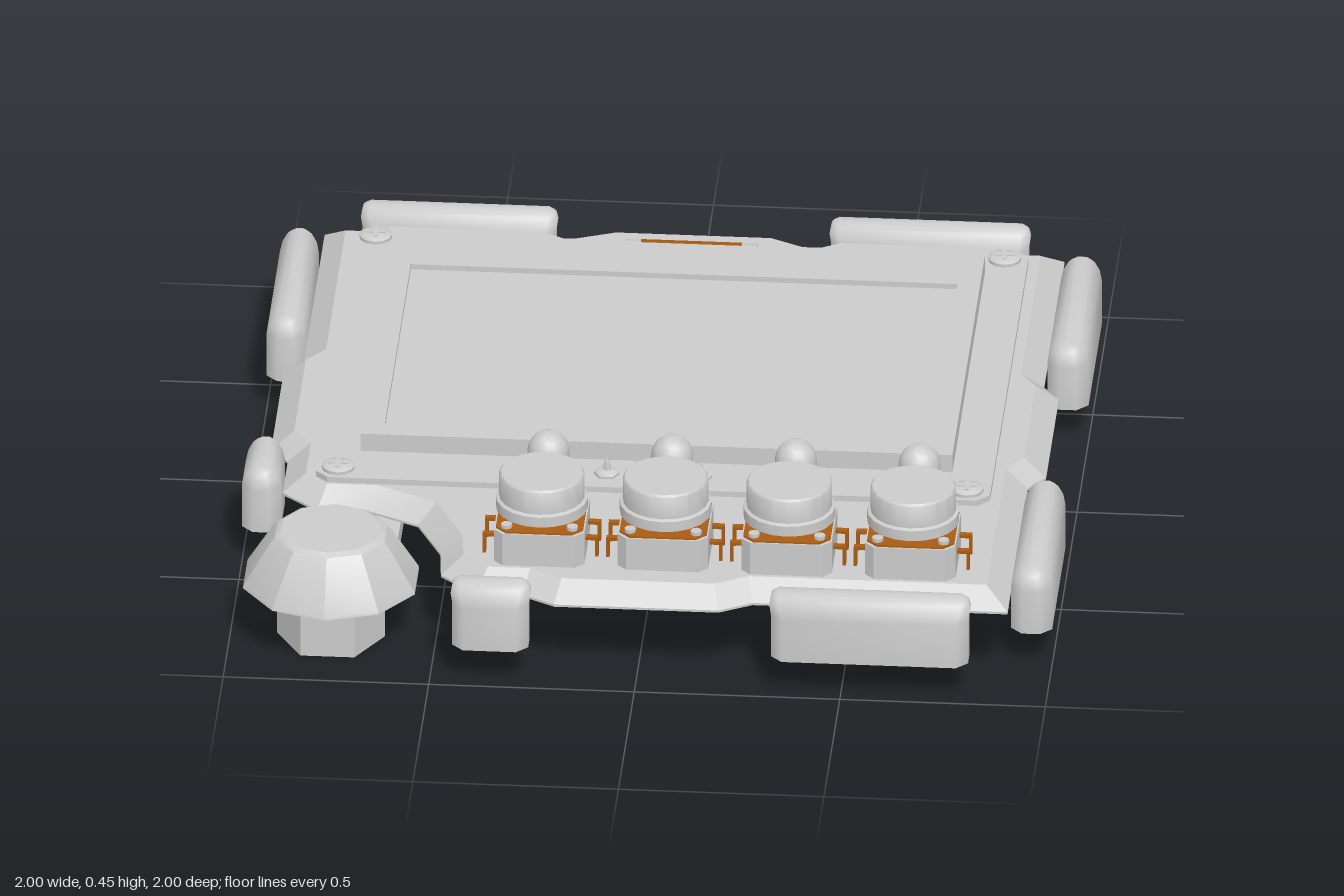
import * as THREE from 'three';
import { toCreasedNormals } from 'three/addons/utils/BufferGeometryUtils.js';

const grey = new THREE.MeshStandardMaterial({ color: 0xcccccc });
const copper = new THREE.MeshStandardMaterial({ color: 0xa85c12 });

// Plan outline from [x, z] pairs, turned counter-clockwise as seen from above
function outline(points) {
  const pts = points.map(([x, z]) => new THREE.Vector2(x, -z));
  return THREE.ShapeUtils.area(pts) < 0 ? pts.reverse() : pts;
}

// Moves every edge of an outline inwards by d
function inset(pts, d) {
  const n = pts.length;
  const normal = (a, b) => new THREE.Vector2(a.y - b.y, b.x - a.x).normalize();
  return pts.map((p, i) => {
    const n1 = normal(pts[(i + n - 1) % n], p), n2 = normal(p, pts[(i + 1) % n]);
    return p.clone().addScaledVector(n1.clone().add(n2), d / (1 + n1.dot(n2)));
  });
}

// Solid through stacked, inset copies of an outline; levels are [y, inset]
function stack(points, levels, crease = 0.3) {
  const base = outline(points), n = base.length;
  const rings = levels.map(([, d]) => (d ? inset(base, d) : base));
  const pos = [], idx = [];
  rings.forEach((r, k) => r.forEach((p) => pos.push(p.x, levels[k][0], -p.y)));
  for (let k = 0; k < rings.length - 1; k++) {
    for (let i = 0; i < n; i++) {
      const a = k * n + i, b = k * n + (i + 1) % n;
      idx.push(a, b, b + n, a, b + n, a + n);
    }
  }
  const top = (rings.length - 1) * n;
  for (const [a, b, c] of THREE.ShapeUtils.triangulateShape(rings[0], [])) idx.push(a, c, b);
  for (const [a, b, c] of THREE.ShapeUtils.triangulateShape(rings[rings.length - 1], [])) idx.push(top + a, top + b, top + c);
  const g = new THREE.BufferGeometry();
  g.setAttribute('position', new THREE.Float32BufferAttribute(pos, 3));
  g.setIndex(idx);
  return toCreasedNormals(g, crease);
}

const rect = (x0, x1, z0, z1) => [[x0, z0], [x1, z0], [x1, z1], [x0, z1]];
const chamfered = (x0, x1, z0, z1, c) => [
  [x0 + c, z0], [x1 - c, z0], [x1, z0 + c], [x1, z1 - c],
  [x1 - c, z1], [x0 + c, z1], [x0, z1 - c], [x0, z0 + c]];

function add(parent, name, geometry, material = grey, x = 0, y = 0, z = 0) {
  const mesh = new THREE.Mesh(geometry, material);
  mesh.name = name;
  mesh.position.set(x, y, z);
  parent.add(mesh);
  return mesh;
}
const block = (x0, x1, y0, y1, z0, z1) => stack(rect(x0, x1, z0, z1), [[y0, 0], [y1, 0]]);

// Turned part from [radius, y] pairs
function turned(profile, sides, crease = 0.7) {
  return toCreasedNormals(new THREE.LatheGeometry(profile.map(([r, y]) => new THREE.Vector2(r, y)), sides), crease);
}

// Bumper domed across its width, with steeper ends
function bumperGeometry(x0, x1, z0, z1) {
  const g = stack(chamfered(x0, x1, z0, z1, 0.028),
    [[0.1, 0], [0.215, 0], [0.24, 0.006], [0.26, 0.018], [0.268, 0.027], [0.273, 0.04]], 0.9);
  const p = g.attributes.position, alongX = x1 - x0 > z1 - z0;
  for (let i = 0; i < p.count; i++) {
    const push = 0.4 * Math.max(0, p.getY(i) - 0.215);
    if (alongX) p.setX(i, p.getX(i) + push * Math.sign(p.getX(i) - (x0 + x1) / 2));
    else p.setZ(i, p.getZ(i) + push * Math.sign(p.getZ(i) - (z0 + z1) / 2));
  }
  return g;
}

export function createModel() {
  const model = new THREE.Group();
  model.name = 'displayUnit';

  // Thin tray with sloped rim, hollow underside and a notch for the knob
  add(model, 'basePlate', stack([
    [-0.9, -0.905], [-0.3, -0.905], [-0.2, -0.945], [0.2, -0.945], [0.28, -0.905], [0.9, -0.905],
    [0.9, -0.26], [0.94, -0.2], [0.94, 0.2], [0.9, 0.26], [0.9, 0.895],
    [0.28, 0.895], [0.2, 0.94], [-0.2, 0.94], [-0.28, 0.895], [-0.39, 0.895], [-0.485, 0.81],
    [-0.495, 0.7], [-0.56, 0.56], [-0.68, 0.5], [-0.81, 0.5], [-0.9, 0.42],
    [-0.9, 0.26], [-0.945, 0.2], [-0.945, -0.2], [-0.9, -0.26],
  ], [[0.236, 0.055], [0.197, 0.01], [0.197, 0], [0.203, 0], [0.247, 0.055]]));
  add(model, 'bottomPanel', block(-0.31, 0.31, 0.233, 0.24, -0.78, -0.49));

  // Rounded bumpers around the edge
  const bumpers = [
    [-0.81, -0.34, -1, -0.905], [0.33, 0.81, -1, -0.905],
    [-0.445, -0.26, 0.9, 1], [0.33, 0.81, 0.9, 1],
    [-1, -0.905, -0.82, -0.34], [-1, -0.905, 0.25, 0.435],
    [0.9, 1, -0.82, -0.34], [0.9, 1, 0.33, 0.81]];
  for (const b of bumpers) add(model, 'bumper', bumperGeometry(...b));

  // Display board with corner tabs
  add(model, 'displayBoard', stack([
    [-0.82, -0.81], [-0.78, -0.85], [-0.36, -0.85], [-0.31, -0.82], [-0.31, -0.76],
    [0.31, -0.76], [0.31, -0.82], [0.36, -0.85], [0.78, -0.85], [0.82, -0.81],
    [0.82, 0.41], [0.79, 0.44], [-0.79, 0.44], [-0.82, 0.41]], [[0.243, 0], [0.262, 0]]));
  add(model, 'screenBacking', stack([
    [-0.72, -0.735], [-0.43, -0.735], [-0.37, -0.76], [0.37, -0.76], [0.43, -0.735], [0.72, -0.735],
    [0.72, 0.3], [-0.72, 0.3]], [[0.26, 0], [0.287, 0]]));

  // Screen frame with window and the recessed screen
  const frame = new THREE.Shape(outline(rect(-0.72, 0.72, -0.73, 0.3)));
  frame.holes.push(new THREE.Path(outline(rect(-0.665, 0.665, -0.575, 0.24))));
  const frameGeometry = new THREE.ExtrudeGeometry(frame, { depth: 0.022, bevelEnabled: false });
  add(model, 'screenFrame', frameGeometry.rotateX(-Math.PI / 2), grey, 0, 0.287);
  add(model, 'screen', block(-0.665, 0.665, 0.28, 0.295, -0.575, 0.24));

  // Ribbon cable wrapping over the back edge
  const ribbon = (w) => new THREE.CylinderGeometry(0.035, 0.035, w, 12).rotateZ(Math.PI / 2).scale(1, 0.6, 1);
  add(model, 'ribbonSleeve', ribbon(0.32), grey, 0, 0.252, -0.798);
  add(model, 'ribbonCable', ribbon(0.245).scale(1, 1.06, 1.03), copper, 0, 0.252, -0.798);

  // Cross-head screws
  for (const x of [-0.767, 0.763]) for (const z of [-0.795, 0.39]) {
    const screw = new THREE.Group();
    screw.name = 'screw';
    screw.position.set(x, 0.26, z);
    add(screw, 'screwHead', turned([[0.04, 0], [0.04, 0.01], [0.03, 0.016], [0, 0.016]], 12));
    add(screw, 'screwCross', new THREE.BoxGeometry(0.05, 0.006, 0.012), grey, 0, 0.016);
    add(screw, 'screwCross', new THREE.BoxGeometry(0.012, 0.006, 0.05), grey, 0, 0.016);
    model.add(screw);
  }

  // Header pins below the screen
  for (let i = 0; i < 4; i++) {
    const x = -0.115 + i * 0.075;
    const collar = turned([[0.031, 0.245], [0.031, 0.268], [0.016, 0.276], [0, 0.276]], 6).rotateY(Math.PI / 2);
    add(model, 'pinCollar', collar, grey, x, 0, 0.372);
    add(model, 'headerPin', turned([[0.01, 0.245], [0.01, 0.285], [0, 0.31]], 6), grey, x, 0, 0.372);
  }

  // Push buttons with indicator lamps behind them
  for (let i = 0; i < 4; i++) {
    const x0 = -0.246 + i * 0.301;
    const button = new THREE.Group();
    button.name = 'pushButton';
    button.position.set(x0, 0, 0.72);
    add(button, 'buttonBase', stack(chamfered(-0.11, 0.11, -0.11, 0.11, 0.022), [[0.243, 0], [0.333, 0]]));
    add(button, 'buttonPlate', stack(chamfered(-0.106, 0.106, -0.106, 0.106, 0.026), [[0.33, 0], [0.337, 0]]), copper);
    add(button, 'buttonStem', new THREE.CylinderGeometry(0.062, 0.062, 0.03, 16), grey, 0, 0.348);
    add(button, 'buttonCap', turned([[0, 0.355], [0.112, 0.355], [0.112, 0.382], [0.104, 0.386],
      [0.104, 0.445], [0.1, 0.45], [0, 0.45]], 20));
    for (const x of [-0.08, 0.08]) for (const z of [-0.08, 0.08]) {
      add(button, 'buttonRivet', new THREE.CylinderGeometry(0.014, 0.014, 0.012, 8), grey, x, 0.34, z);
    }
    for (const s of [-1, 1]) for (const z of [-0.04, 0.04]) {
      add(button, 'buttonLegArm', new THREE.BoxGeometry(0.036, 0.008, 0.016), copper, s * 0.122, 0.295, z);
      add(button, 'buttonLeg', new THREE.BoxGeometry(0.008, 0.1, 0.016), copper, s * 0.137, 0.249, z);
    }
    model.add(button);

    const lamp = new THREE.Group();
    lamp.name = 'indicatorLamp';
    lamp.position.set(x0, 0, 0.515);
    add(lamp, 'lampFlange', turned([[0, 0.28], [0.06, 0.28], [0.06, 0.293], [0, 0.293]], 8));
    const dome = [[0.051, 0.29]];
    for (let k = 0; k <= 6; k++) {
      const a = k * Math.PI / 12;
      dome.push([0.051 * Math.cos(a), 0.398 + 0.052 * Math.sin(a)]);
    }
    add(lamp, 'lampBulb', turned(dome, 16));
    for (const x of [-0.025, 0.025]) add(lamp, 'lampLead', new THREE.BoxGeometry(0.01, 0.07, 0.01), grey, x, 0.25);
    model.add(lamp);
  }

  // Control knob on a six-sided stem, carried by an arm under the plate
  const knob = new THREE.Group();
  knob.name = 'knob';
  knob.position.set(-0.756, 0, 0.763);
  add(knob, 'knobCap', turned([[0, 0.158], [0.22, 0.158], [0.218, 0.166], [0.152, 0.272],
    [0.14, 0.287], [0.125, 0.295], [0, 0.295]], 10, 0.4));
  add(knob, 'knobStem', turned([[0, 0.003], [0.131, 0.003], [0.131, 0.17], [0, 0.17]], 6).rotateY(Math.PI / 2));
  model.add(knob);
  add(model, 'knobArm', block(-0.84, -0.61, 0.1, 0.155, 0.18, 0.8));

  return model;
}
